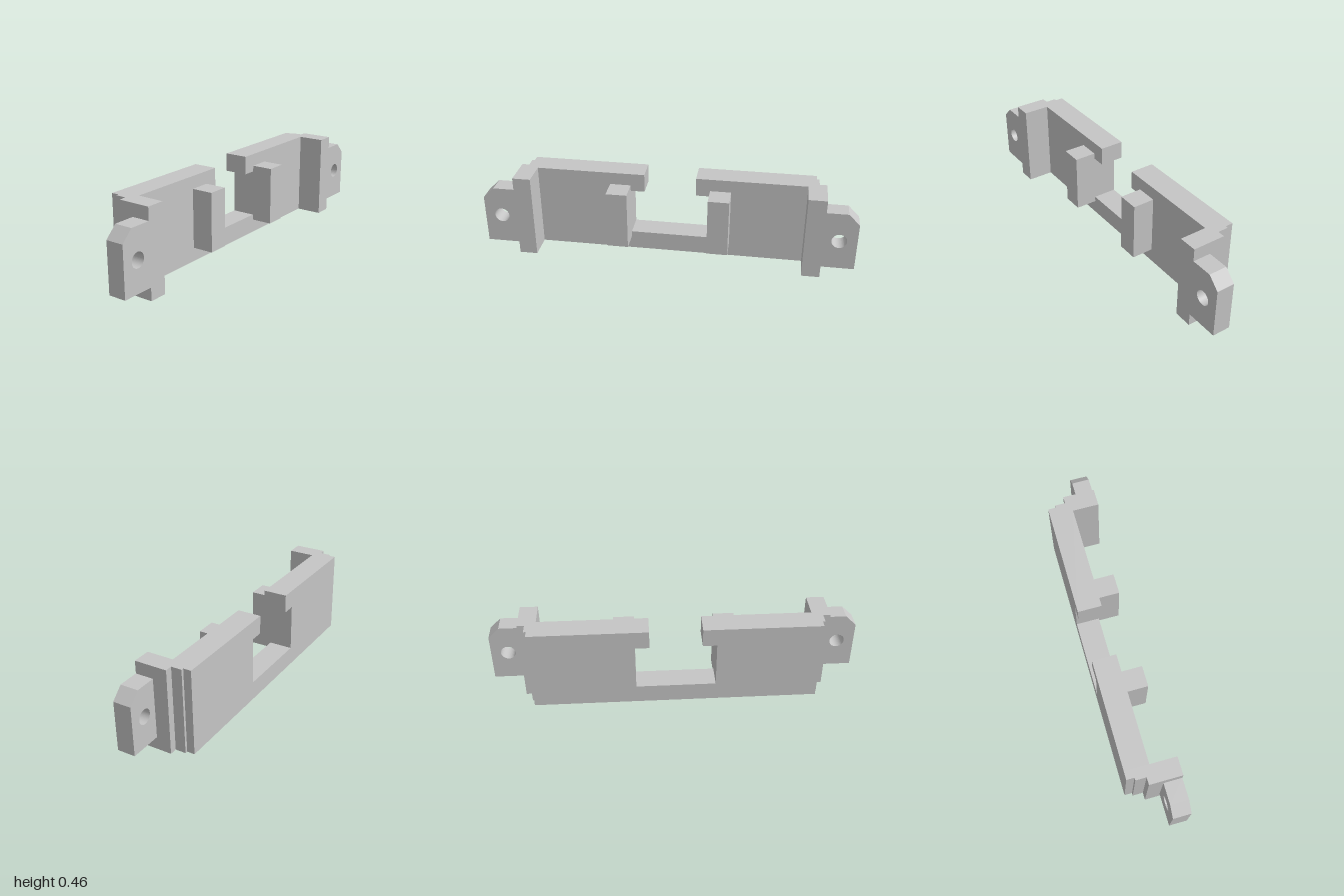
import * as THREE from 'three';

const HEIGHT = 0.463;
const BACK = -0.137;
const PLATE_FRONT = -0.007;
const FRONT = 0.137;

const grey = new THREE.MeshStandardMaterial({ color: 0xc5c5c5 });
grey.name = 'lightGrey';

function shapeFrom(points, side = 1) {
  return new THREE.Shape(points.map(([x, y]) => new THREE.Vector2(x * side, y)));
}

// Front outline extruded from z0 to z1
function slab(name, shape, z0, z1) {
  const geometry = new THREE.ExtrudeGeometry(shape, { depth: z1 - z0, bevelEnabled: false, curveSegments: 32 });
  geometry.translate(0, 0, z0);
  const mesh = new THREE.Mesh(geometry, grey);
  mesh.name = name;
  return mesh;
}

// Plan outline given as [x, z], extruded upwards from y = 0
function column(name, plan, side, height) {
  const shape = shapeFrom(plan.map(([x, z]) => [x, -z]), side);
  const geometry = new THREE.ExtrudeGeometry(shape, { depth: height, bevelEnabled: false });
  geometry.rotateX(-Math.PI / 2);
  const mesh = new THREE.Mesh(geometry, grey);
  mesh.name = name;
  return mesh;
}

export function createModel() {
  const model = new THREE.Group();
  model.name = 'mountingBracket';

  // Back plate with a window open at the top between two lips
  const half = [[0.73, 0], [0.73, HEIGHT], [0.14, HEIGHT], [0.14, 0.362], [0.216, 0.362], [0.216, 0.104]];
  const mirrored = half.map(([x, y]) => [-x, y]).reverse();
  model.add(slab('backPlate', shapeFrom([...half, ...mirrored]), BACK, PLATE_FRONT));

  for (const [label, side] of [['left', 1], ['right', -1]]) {
    // Stepped end wall reaching forward from the plate
    model.add(column(label + 'EndWall', [
      [0.73, BACK], [0.774, BACK], [0.774, -0.095], [0.788, -0.095],
      [0.788, -0.038], [0.827, -0.038], [0.827, FRONT], [0.73, FRONT],
    ], side, HEIGHT));

    // Mounting ear with a clipped corner and a screw hole
    const ear = shapeFrom([[0.827, 0.069], [1, 0.069], [1, 0.336], [0.94, 0.395], [0.827, 0.395]], side);
    const hole = new THREE.Path();
    hole.absarc(0.907 * side, 0.233, 0.04, 0, Math.PI * 2);
    ear.holes.push(hole);
    model.add(slab(label + 'MountingEar', ear, 0.04, FRONT));

    // Post beside the window
    const post = new THREE.Mesh(new THREE.BoxGeometry(0.113, 0.321, 0.118), grey);
    post.name = label + 'Post';
    post.position.set(0.2725 * side, 0.2345, PLATE_FRONT + 0.059);
    model.add(post);
  }
  return model;
}
